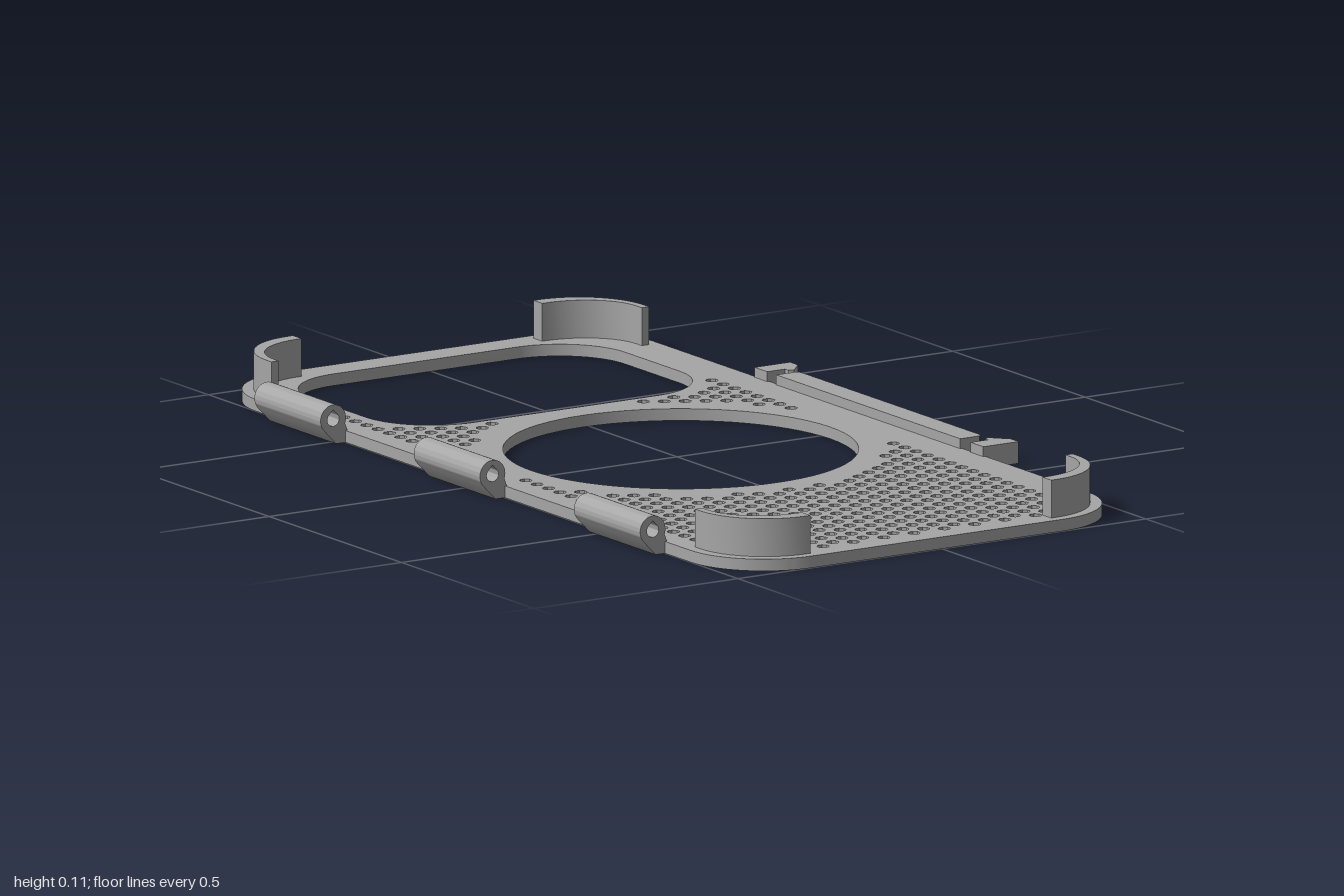
import * as THREE from 'three';
import { toCreasedNormals } from 'three/addons/utils/BufferGeometryUtils.js';

const CX = -0.0125;                                  // plate centre line
const DISC = { x: CX, z: 0.033, r: 0.366 };          // round opening
const WIN = { x: -0.014, z: -0.665, w: 0.385, d: 0.264, r: 0.16 }; // window half sizes

// Rounded rectangle outline, shape y = -z
function roundedRect(path, cx, cz, w, d, r) {
  const corners = [[1, 1, 0], [-1, 1, 1], [-1, -1, 2], [1, -1, 3]];
  for (const [sx, sy, q] of corners) {
    path.absarc(cx + sx * (w - r), -cz + sy * (d - r), r, q * Math.PI / 2, (q + 1) * Math.PI / 2, false);
  }
  path.closePath();
  return path;
}

// Signed distance to a rounded rectangle
function rectDistance(x, z, cx, cz, w, d, r) {
  const qx = Math.abs(x - cx) - w + r, qz = Math.abs(z - cz) - d + r;
  return Math.hypot(Math.max(qx, 0), Math.max(qz, 0)) + Math.min(Math.max(qx, qz), 0) - r;
}

// Extrude a plan shape upward from y = 0
function extrudeUp(shape, height, curveSegments = 12) {
  const geo = new THREE.ExtrudeGeometry(shape, { depth: height, bevelEnabled: false, curveSegments });
  geo.rotateX(-Math.PI / 2);
  return toCreasedNormals(geo, 0.5);
}

const planShape = points => new THREE.Shape(points.map(([x, z]) => new THREE.Vector2(x, -z)));

export function createModel() {
  const group = new THREE.Group();
  const grey = new THREE.MeshStandardMaterial({ color: 0xa6a6a6 });
  grey.name = 'grey';
  const add = (name, geo) => {
    const mesh = new THREE.Mesh(geo, grey);
    mesh.name = name;
    group.add(mesh);
    return mesh;
  };

  // Back plate with window, round opening and honeycomb of vent holes
  const plate = roundedRect(new THREE.Shape(), CX, 0, 0.4875, 1, 0.18);
  plate.holes.push(roundedRect(new THREE.Path(), WIN.x, WIN.z, WIN.w, WIN.d, WIN.r));
  const disc = [];
  for (let i = 0; i < 72; i++) {
    const a = -i / 72 * Math.PI * 2;
    disc.push(new THREE.Vector2(DISC.x + DISC.r * Math.cos(a), -DISC.z + DISC.r * Math.sin(a)));
  }
  plate.holes.push(new THREE.Path(disc));
  const stepX = 0.03716, stepZ = 0.0429;
  for (let col = 0; col < 23; col++) {
    for (let row = 0; row < 42; row++) {
      const x = -0.4365 + col * stepX;
      const z = -0.757 + (row + (col % 2) / 2) * stepZ;
      if (Math.hypot(x - DISC.x, z - DISC.z) < 0.426) continue;
      if (rectDistance(x, z, WIN.x, WIN.z, WIN.w, WIN.d, WIN.r) < 0.024) continue;
      if (rectDistance(x, z, CX, 0, 0.4875, 1, 0.18) > -0.06) continue;
      const pts = [];
      for (let i = 0; i < 8; i++) {
        const a = -(i + 0.5) / 8 * Math.PI * 2;
        pts.push(new THREE.Vector2(x + 0.0133 * Math.cos(a), -z + 0.0133 * Math.sin(a)));
      }
      plate.holes.push(new THREE.Path(pts));
    }
  }
  add('backPlate', extrudeUp(plate, 0.025, 14));

  // Four curved corner clips, thicker on the short sides
  for (const sx of [-1, 1]) for (const sz of [-1, 1]) {
    const outer = [[0.463, 0.8]], inner = [[0.445, 0.8]];
    for (let i = 0; i <= 12; i++) {
      const c = Math.cos(i / 12 * Math.PI / 2), s = Math.sin(i / 12 * Math.PI / 2);
      outer.push([0.305 + 0.158 * c, 0.82 + 0.158 * s]);
      inner.push([0.305 + 0.14 * c, 0.82 + 0.125 * s]);
    }
    outer.push([0.295, 0.978]);
    inner.push([0.295, 0.945]);
    const pts = outer.concat(inner.reverse()).map(([x, z]) => [CX + sx * x, sz * z]);
    add('cornerClip', extrudeUp(planShape(pts), 0.085)).position.y = 0.02;
  }

  // Three hinge knuckles with a teardrop bore
  const knuckle = new THREE.Shape();
  knuckle.moveTo(-0.495, 0);
  knuckle.lineTo(-0.495, 0.025);
  knuckle.lineTo(-0.501, 0.04);
  knuckle.absarc(-0.53, 0.052, 0.031, -0.35, Math.PI * 1.25, false);
  knuckle.lineTo(-0.523, 0);
  knuckle.closePath();
  const bore = new THREE.Path();
  bore.absarc(-0.53, 0.052, 0.0145, Math.PI * 0.25, Math.PI * 0.75, true);
  bore.lineTo(-0.53, 0.0725);
  bore.closePath();
  knuckle.holes.push(bore);
  for (const z of [-0.607, -0.005, 0.6]) {
    const geo = new THREE.ExtrudeGeometry(knuckle, { depth: 0.25, bevelEnabled: false, curveSegments: 24 });
    add('hingeKnuckle', toCreasedNormals(geo, 0.5)).position.z = z - 0.125;
  }

  // Latch rail with clipped outer corners
  add('latchRail', extrudeUp(planShape([
    [0.47, -0.35], [0.517, -0.35], [0.525, -0.342], [0.525, 0.337], [0.517, 0.345], [0.47, 0.345],
  ]), 0.046));

  // Barbed latch hooks at both ends of the rail
  for (const s of [-1, 1]) {
    const pts = [[0.47, 0.432], [0.557, 0.432], [0.557, 0.402], [0.524, 0.366], [0.514, 0.372], [0.514, 0.384], [0.47, 0.384]];
    add('latchHook', extrudeUp(planShape(pts.map(([x, z]) => [x, s * z])), 0.046));
  }

  return group;
}
